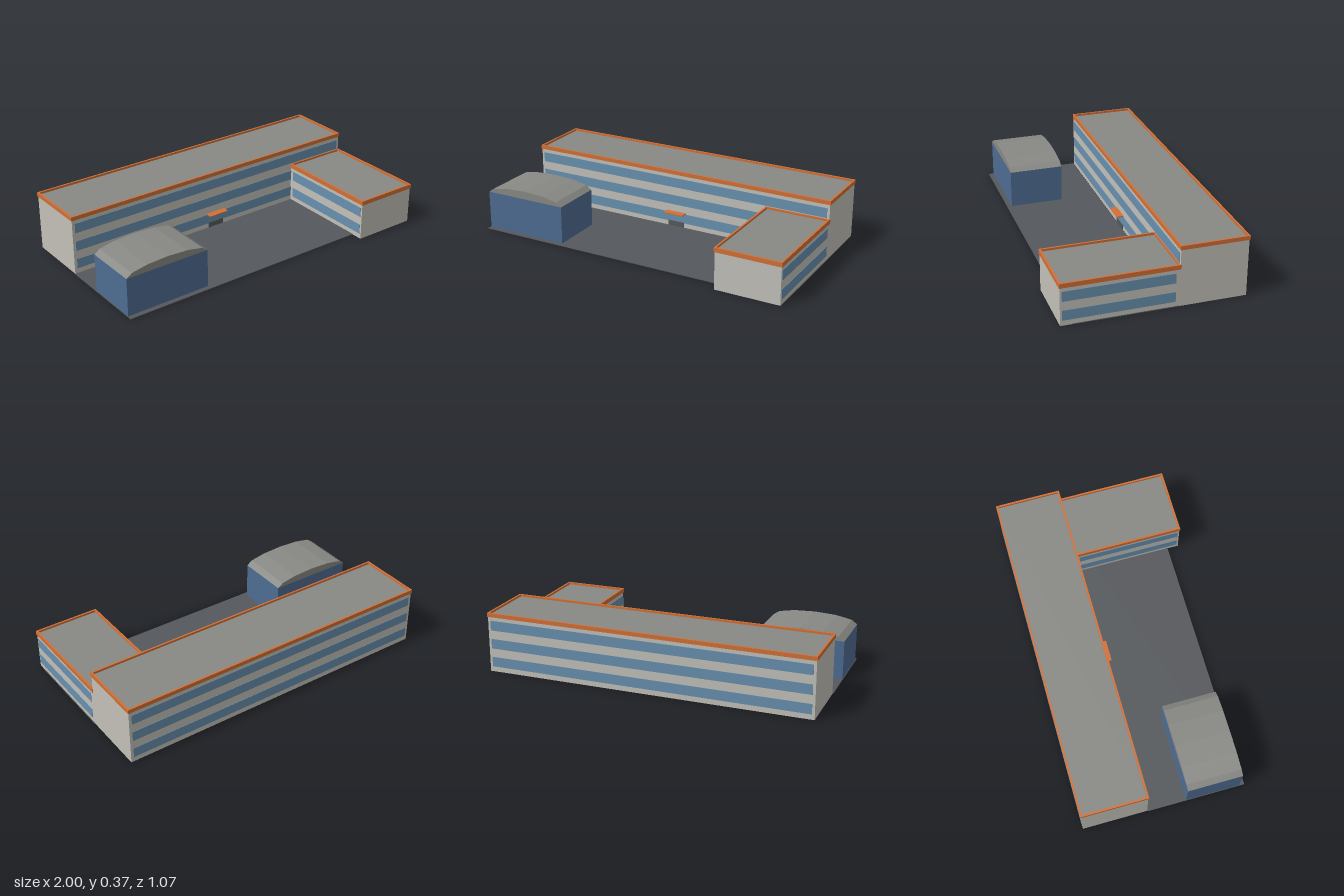
import * as THREE from 'three';

const mat = (name, color, side = THREE.FrontSide) => {
  const m = new THREE.MeshStandardMaterial({ color, side });
  m.name = name;
  return m;
};

export function createModel() {
  const wall = mat('wall grey', 0xc2c0b8, THREE.DoubleSide);
  const glass = mat('window blue', 0x6890ae);
  const trim = mat('parapet orange', 0xd27036);
  const roofGrey = mat('roof grey', 0x888884, THREE.DoubleSide);
  const hallBlue = mat('hall blue', 0x4e6c92);
  const paving = mat('paving dark grey', 0x55585c);

  const model = new THREE.Group();
  model.name = 'schoolBuilding';

  const add = (parent, name, geometry, material) => {
    const mesh = new THREE.Mesh(geometry, material);
    mesh.name = name;
    parent.add(mesh);
    return mesh;
  };

  // Box given by its minimum and maximum corners
  const boxGeo = (x0, x1, y0, y1, z0, z1) =>
    new THREE.BoxGeometry(x1 - x0, y1 - y0, z1 - z0)
      .translate((x0 + x1) / 2, (y0 + y1) / 2, (z0 + z1) / 2);

  // Four outer walls, open above and below
  const wallsGeo = (...bounds) => {
    const g = boxGeo(...bounds);
    const index = Array.from(g.index.array);
    index.splice(12, 12);
    g.setIndex(index);
    g.clearGroups();
    return g;
  };

  const rectangle = (Type, x0, x1, z0, z1) => {
    const path = new Type();
    path.moveTo(x0, -z1);
    path.lineTo(x1, -z1);
    path.lineTo(x1, -z0);
    path.lineTo(x0, -z0);
    path.closePath();
    return path;
  };

  // Flat-roofed block with a rim standing above the roof
  const block = (name, x0, x1, z0, z1, eaves, top) => {
    const group = new THREE.Group();
    group.name = name;
    model.add(group);
    const e = 0.004, t = 0.011;
    add(group, 'walls', wallsGeo(x0 + e, x1 - e, 0, eaves + 0.005, z0 + e, z1 - e), wall);
    add(group, 'roof', boxGeo(x0 + e, x1 - e, eaves, top - 0.013, z0 + e, z1 - e), roofGrey);
    const rim = rectangle(THREE.Shape, x0, x1, z0, z1);
    rim.holes.push(rectangle(THREE.Path, x0 + t, x1 - t, z0 + t, z1 - t));
    const rimGeo = new THREE.ExtrudeGeometry(rim, { depth: top - eaves, bevelEnabled: false });
    rimGeo.rotateX(-Math.PI / 2).translate(0, eaves, 0);
    add(group, 'parapet', rimGeo, trim);
    return group;
  };

  const main = block('mainBlock', -1, 1, -0.535, -0.135, 0.342, 0.366);
  const wing = block('sideWing', 0.596, 1, -0.143, 0.533, 0.227, 0.254);

  // Window bands, one per storey
  const bandBase = (floor) => 0.032 + floor * 0.1135;
  const bandHeight = 0.06;
  for (let floor = 0; floor < 3; floor++) {
    const y0 = bandBase(floor), y1 = y0 + bandHeight;
    add(main, 'frontWindowBand', boxGeo(-0.98, 0.98, y0, y1, -0.14, -0.1365), glass);
    add(main, 'backWindowBand', boxGeo(-0.98, 0.98, y0, y1, -0.5335, -0.53), glass);
    if (floor < 2) {
      add(wing, 'outerWindowBand', boxGeo(0.995, 0.9985, y0, y1, -0.116, 0.518), glass);
      add(wing, 'innerWindowBand', boxGeo(0.5975, 0.601, y0, y1, -0.116, 0.518), glass);
    }
  }

  // Entrance
  add(main, 'door', boxGeo(-0.055, 0.052, 0.004, 0.036, -0.14, -0.134), paving);
  add(main, 'entranceCanopy', boxGeo(-0.068, 0.064, 0.094, 0.1, -0.139, -0.096), trim);

  // Courtyard
  add(model, 'courtyard', boxGeo(-1, 1, 0, 0.004, -0.135, 0.46), paving);

  // Sports hall with a shallow barrel roof
  const hall = new THREE.Group();
  hall.name = 'sportsHall';
  model.add(hall);
  const cx = -0.733, half = 0.264, hallTop = 0.236, rise = 0.05, z0 = 0.1, z1 = 0.43;
  add(hall, 'hallWalls', boxGeo(cx - half, cx + half, 0.002, hallTop, z0, z1), hallBlue);
  const arch = new THREE.Shape();
  arch.moveTo(half, 0);
  for (let i = 1; i <= 6; i++) {
    const a = (i * Math.PI) / 6;
    arch.lineTo(half * Math.cos(a), rise * Math.sin(a));
  }
  arch.closePath();
  const archGeo = new THREE.ExtrudeGeometry(arch, { depth: z1 - z0, bevelEnabled: false });
  add(hall, 'barrelRoof', archGeo.translate(cx, hallTop, z0), roofGrey);

  return model;
}
